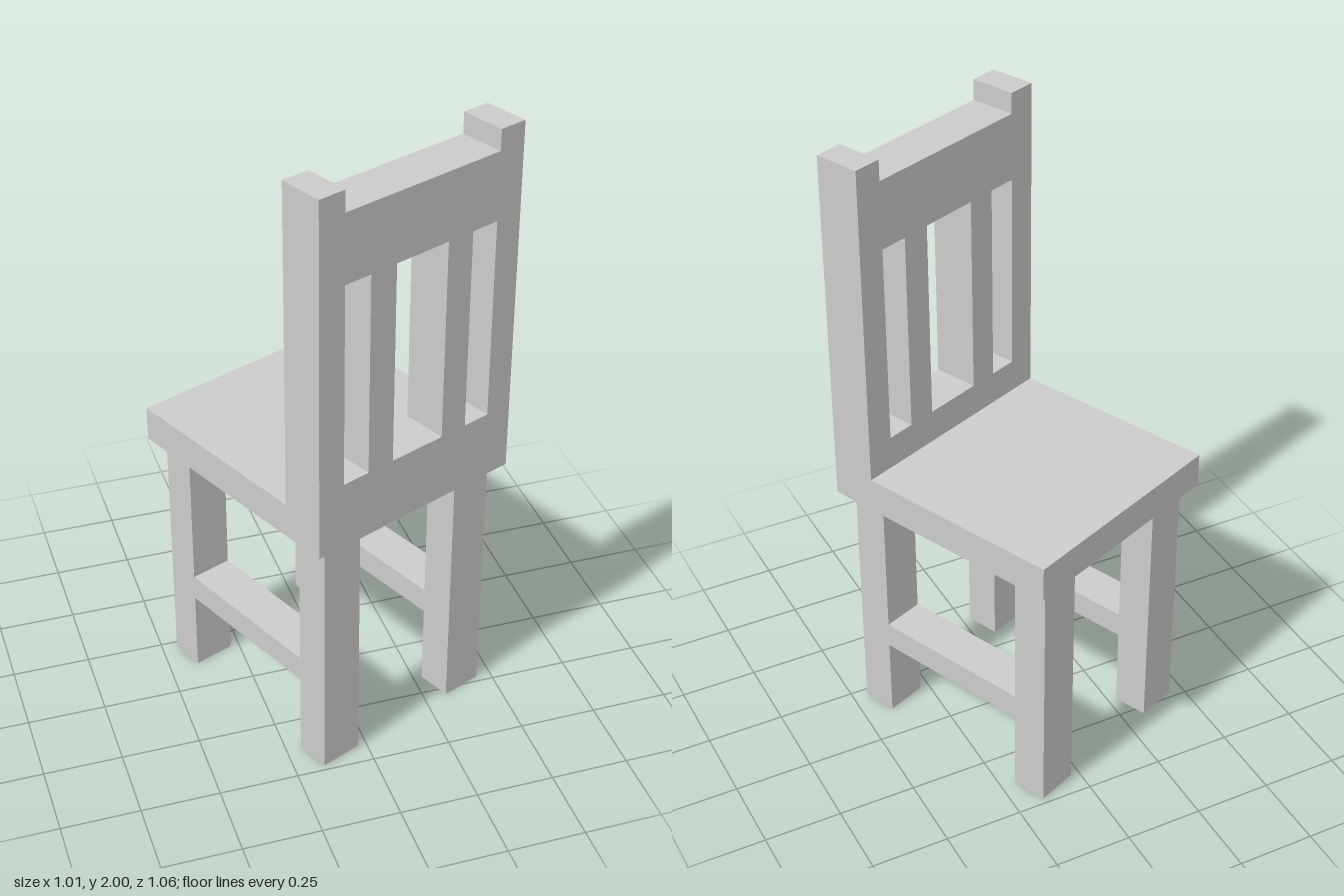
import * as THREE from 'three';

const W = 0.753, D = 0.831;            // seat width and depth
const SEAT_Y = 0.845, SEAT_TOP = 0.957;
const LEG_W = 0.138, LEG_D = 0.116, LEG_X = 0.26, LEG_Z = 0.325;

export function createModel() {
  const chair = new THREE.Group();
  chair.name = 'chair';
  const material = new THREE.MeshStandardMaterial({ color: 0xcccccc, flatShading: true });

  const add = (name, geometry, x, y, z) => {
    const mesh = new THREE.Mesh(geometry, material);
    mesh.name = name;
    mesh.position.set(x, y, z);
    chair.add(mesh);
  };
  const box = (name, w, h, d, x, y, z) => add(name, new THREE.BoxGeometry(w, h, d), x, y, z);

  // Backrest: one slab with raised post tips and three openings between the slats
  const thick = 0.15, post = W / 2 - 0.092, railTop = 1.933;
  const outline = [
    [-W / 2, SEAT_Y], [W / 2, SEAT_Y], [W / 2, 2], [post, 2],
    [post, railTop], [-post, railTop], [-post, 2], [-W / 2, 2],
  ];
  const back = new THREE.Shape(outline.map(([x, y]) => new THREE.Vector2(x, y)));
  for (const [x0, x1] of [[-post, -0.191], [-0.097, 0.097], [0.191, post]]) {
    back.holes.push(new THREE.Path([[x0, 1.065], [x0, 1.715], [x1, 1.715], [x1, 1.065]]
      .map(([x, y]) => new THREE.Vector2(x, y))));
  }
  add('backrest', new THREE.ExtrudeGeometry(back, { depth: thick, bevelEnabled: false }),
    0, 0, D / 2 - thick);

  // Seat, meeting the inner face of the backrest
  box('seat', W, SEAT_TOP - SEAT_Y, D - thick, 0, (SEAT_Y + SEAT_TOP) / 2, -thick / 2);

  // Legs, with a full-width stretcher joining each side pair
  for (const [side, s] of [['left', 1], ['right', -1]]) {
    for (const [end, e] of [['Inner', -1], ['Backrest', 1]]) {
      box(`${side}${end}Leg`, LEG_W, SEAT_Y, LEG_D, s * LEG_X, SEAT_Y / 2, e * LEG_Z);
    }
    box(`${side}Stretcher`, LEG_W, 0.085, 2 * LEG_Z - LEG_D, s * LEG_X, 0.317, 0);
  }

  // The chair stands turned about its vertical axis
  chair.rotation.y = 0.395;
  const model = new THREE.Group();
  model.name = 'model';
  model.add(chair);
  return model;
}
